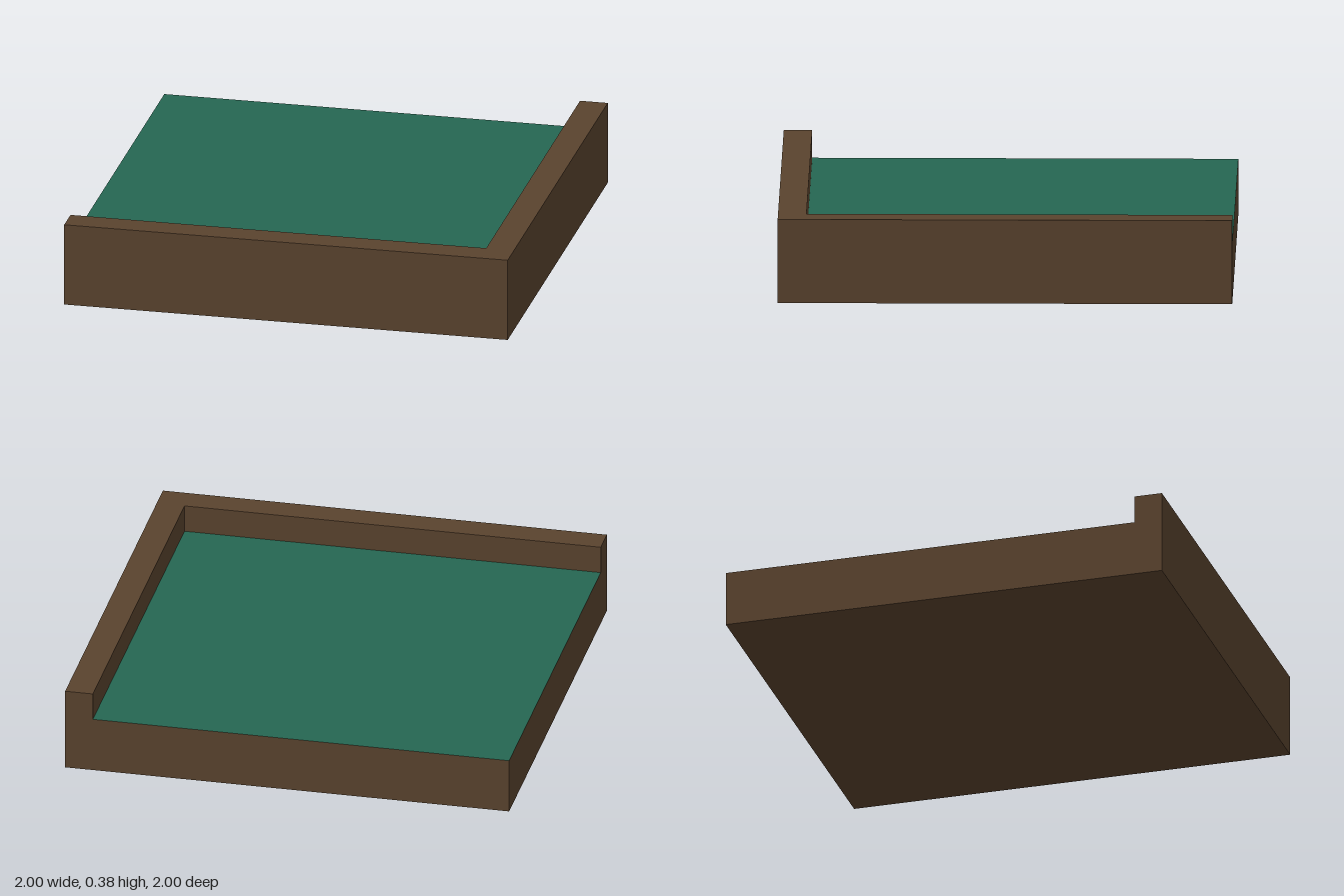
import * as THREE from 'three';

const WALL = 0.125;   // rim thickness
const HEIGHT = 0.375; // rim height
const FLOOR = 0.25;   // bed height
const BED = 2 - WALL; // bed side length

export function createModel() {
  const wood = new THREE.MeshStandardMaterial({ color: 0x5a432e });
  wood.name = 'dark brown wood';
  const felt = new THREE.MeshStandardMaterial({ color: 0x256752 });
  felt.name = 'green felt';

  const model = new THREE.Group();
  model.name = 'corner tray';

  // Wooden bed with a felt top face (box face order: +x, -x, +y, -y, +z, -z)
  const bed = new THREE.Mesh(
    new THREE.BoxGeometry(BED, FLOOR, BED),
    [wood, wood, felt, wood, wood, wood]
  );
  bed.name = 'feltBed';
  bed.position.set(-WALL / 2, FLOOR / 2, -WALL / 2);
  model.add(bed);

  // L-shaped rim along the front and left sides, drawn in plan (shape y = -z)
  const inner = 1 - WALL;
  const plan = new THREE.Shape([
    [-1, -1], [1, -1], [1, 1], [inner, 1], [inner, -inner], [-1, -inner],
  ].map(([x, y]) => new THREE.Vector2(x, y)));
  const rimGeometry = new THREE.ExtrudeGeometry(plan, { depth: HEIGHT, bevelEnabled: false });
  rimGeometry.rotateX(-Math.PI / 2);
  const rim = new THREE.Mesh(rimGeometry, wood);
  rim.name = 'cornerRim';
  model.add(rim);

  return model;
}
